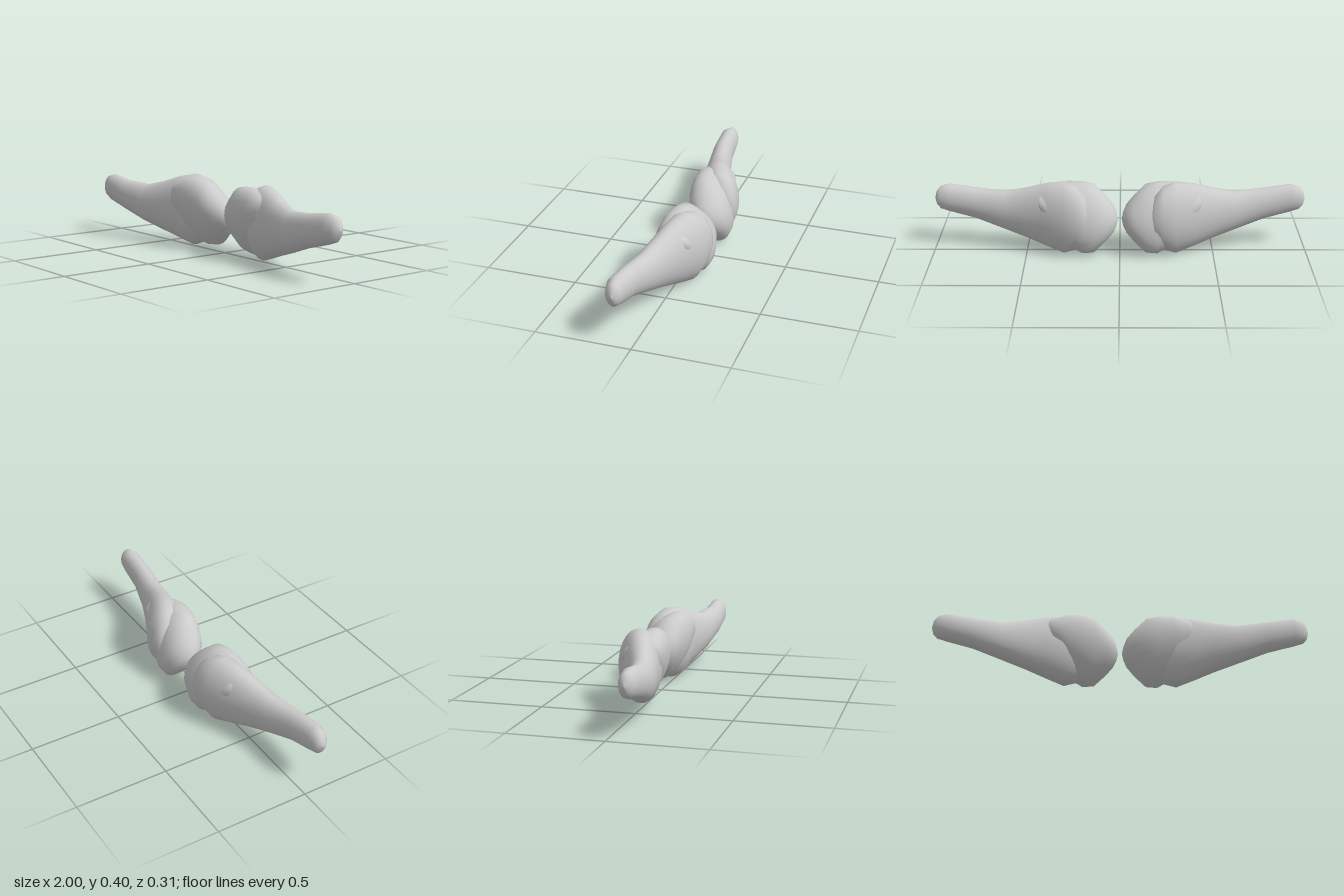
import * as THREE from 'three';

const RING = 28;

// Cross-sections: [x, y bottom, y top, z back, z front]
const WING = [
  [0.16, 0.2, 0.2, -0.09, -0.09],
  [0.165, 0.14, 0.27, -0.13, -0.04],
  [0.185, 0.07, 0.34, -0.153, 0.01],
  [0.23, 0.035, 0.385, -0.16, 0.055],
  [0.3, 0.008, 0.405, -0.15, 0.085],
  [0.4, 0.038, 0.385, -0.1, 0.095],
  [0.5, 0.07, 0.35, -0.053, 0.115],
  [0.62, 0.105, 0.32, -0.005, 0.135],
  [0.78, 0.158, 0.33, 0.035, 0.152],
  [0.92, 0.195, 0.35, 0.045, 0.15],
  [0.97, 0.212, 0.337, 0.055, 0.135],
  [0.99, 0.235, 0.31, 0.07, 0.117],
  [1.0, 0.273, 0.273, 0.093, 0.093],
];
const LOBE = [
  [0.01, 0.2, 0.2, -0.04, -0.04],
  [0.018, 0.165, 0.235, -0.07, -0.005],
  [0.035, 0.13, 0.275, -0.1, 0.025],
  [0.075, 0.085, 0.32, -0.135, 0.06],
  [0.14, 0.025, 0.38, -0.147, 0.08],
  [0.2, 0.018, 0.39, -0.143, 0.09],
  [0.28, 0.06, 0.39, -0.125, 0.095],
  [0.36, 0.15, 0.365, -0.11, 0.095],
  [0.42, 0.24, 0.35, -0.09, 0.05],
  [0.45, 0.3, 0.3, -0.04, -0.04],
];

// Smooth closed skin over elliptical sections; lean shifts z with height
function loft(sections, side, lean) {
  const pos = [], index = [];
  sections.forEach(([x, y0, y1, z0, z1]) => {
    for (let j = 0; j < RING; j++) {
      const a = (j / RING) * Math.PI * 2;
      const dy = Math.cos(a) * (y1 - y0) / 2;
      const dz = Math.sin(a) * (z1 - z0) / 2;
      pos.push(side * x, (y0 + y1) / 2 + dy, (z0 + z1) / 2 + dz + lean * dy);
    }
  });
  for (let i = 0; i < sections.length - 1; i++) {
    for (let j = 0; j < RING; j++) {
      const k = (j + 1) % RING;
      const a = i * RING + j, b = i * RING + k, c = a + RING, d = b + RING;
      if (side > 0) index.push(a, b, c, b, d, c);
      else index.push(a, c, b, b, c, d);
    }
  }
  const geo = new THREE.BufferGeometry();
  geo.setAttribute('position', new THREE.Float32BufferAttribute(pos, 3));
  geo.setIndex(index);
  geo.computeVertexNormals();
  return geo;
}

export function createModel() {
  const model = new THREE.Group();
  const material = new THREE.MeshStandardMaterial({ color: 0xcccccc });

  // Mirrored halves: a long tapered wing wrapped round a rounded inner lobe
  for (const side of [1, -1]) {
    const half = new THREE.Group();
    half.name = side > 0 ? 'leftHalf' : 'rightHalf';
    for (const [name, sections, lean] of [['taperedWing', WING, 0], ['innerLobe', LOBE, 0.22]]) {
      const mesh = new THREE.Mesh(loft(sections, side, lean), material);
      mesh.name = name;
      half.add(mesh);
    }
    model.add(half);
  }
  return model;
}
